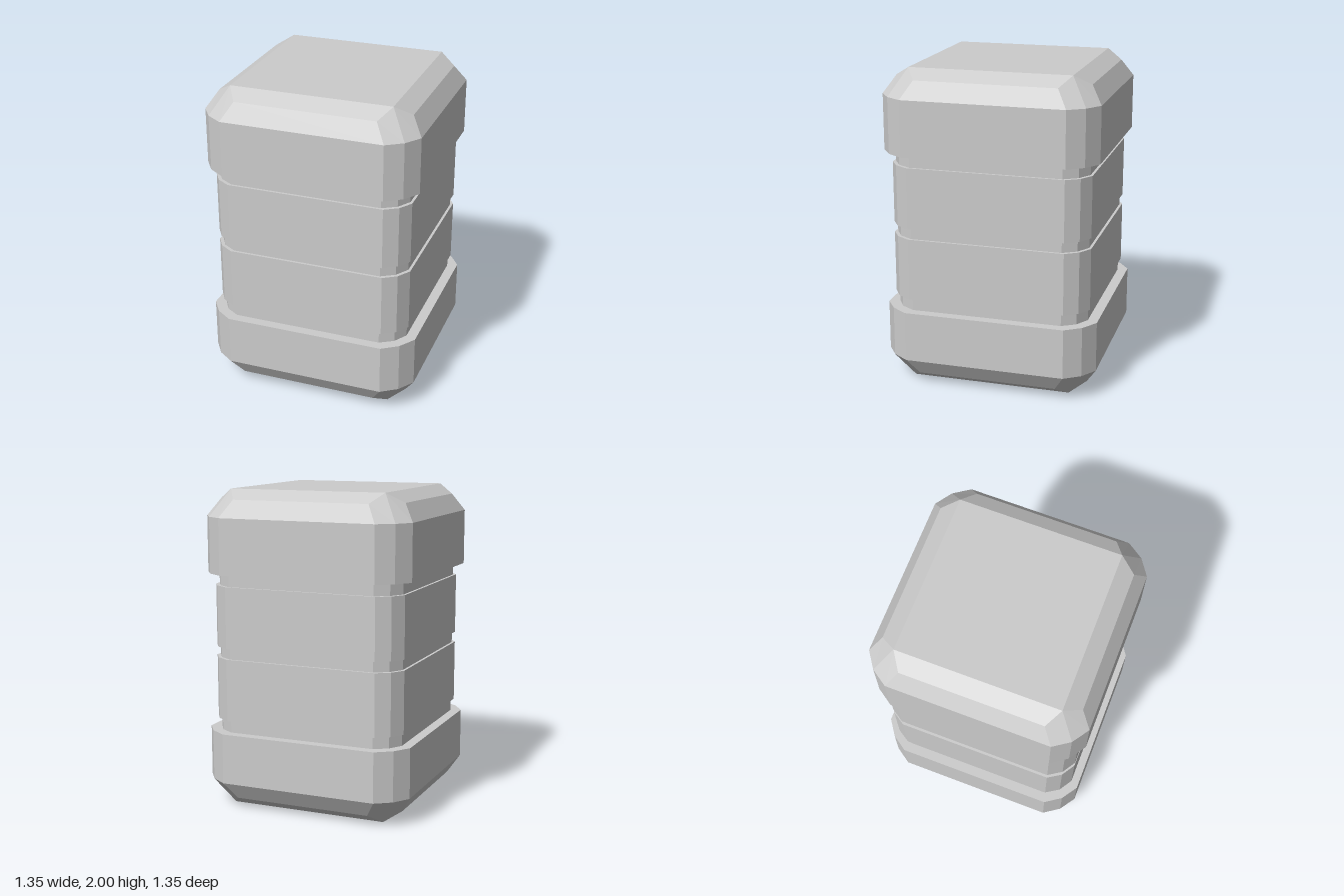
import * as THREE from 'three';

const material = new THREE.MeshStandardMaterial({ color: 0xcccccc, flatShading: true });

// Twelve-sided ring: three [x, z] corner points turned through four quarters
function ring(y, corner) {
  const points = [];
  for (let q = 0; q < 4; q++) {
    for (let [x, z] of corner) {
      for (let k = 0; k < q; k++) [x, z] = [-z, x];
      points.push(new THREE.Vector3(x, y, z));
    }
  }
  return points;
}

// Square section of half width `half`, its corners bevelled in two steps
const section = (y, half, flat, mid) => ring(y, [[half, flat], [mid, mid], [flat, half]]);

// Skin between rings listed from bottom to top, closed at both ends
function loft(name, rings) {
  const positions = [];
  const tri = (a, b, c) => {
    if (a.equals(b) || b.equals(c) || c.equals(a)) return;
    for (const p of [a, b, c]) positions.push(p.x, p.y, p.z);
  };
  for (let r = 0; r + 1 < rings.length; r++) {
    const lo = rings[r], up = rings[r + 1];
    for (let i = 0; i < 12; i++) {
      const j = (i + 1) % 12;
      tri(lo[i], up[i], up[j]);
      tri(lo[i], up[j], lo[j]);
    }
  }
  const bottom = rings[0], top = rings[rings.length - 1];
  for (let i = 1; i < 11; i++) {
    tri(bottom[0], bottom[i], bottom[i + 1]);
    tri(top[0], top[i + 1], top[i]);
  }
  const geometry = new THREE.BufferGeometry();
  geometry.setAttribute('position', new THREE.Float32BufferAttribute(positions, 3));
  geometry.computeVertexNormals();
  const mesh = new THREE.Mesh(geometry, material);
  mesh.name = name;
  return mesh;
}

// End block: straight wall, then a two-step bevel into a flat square face
function endBlock(name, wallEnd, shoulder, bevel, face) {
  const rings = [
    section(wallEnd, 0.675, 0.505, 0.606),
    section(shoulder, 0.675, 0.505, 0.606),
    ring(bevel, [[0.606, 0.44], [0.505, 0.505], [0.44, 0.606]]),
    ring(face, [[0.505, 0.505], [0.505, 0.505], [0.505, 0.505]]),
  ];
  // The bevel ring's corner points lie on the flat face itself
  for (let i = 1; i < 12; i += 3) rings[2][i].y = face;
  return loft(name, face > wallEnd ? rings : rings.reverse());
}

export function createModel() {
  const group = new THREE.Group();
  group.name = 'bandedContainer';

  // Capped ends
  group.add(endBlock('topCap', 1.483, 1.832, 1.94, 2));
  group.add(endBlock('base', 0.487, 0.17, 0.063, 0));

  // Recessed core seen in the grooves
  group.add(loft('core', [0.45, 1.52].map((y) => section(y, 0.612, 0.475, 0.56))));

  // Two raised bands round the body
  for (const [name, y0, y1] of [['lowerBand', 0.562, 0.954], ['upperBand', 1.021, 1.407]]) {
    group.add(loft(name, [y0, y1].map((y) => section(y, 0.628, 0.492, 0.575))));
  }
  return group;
}
